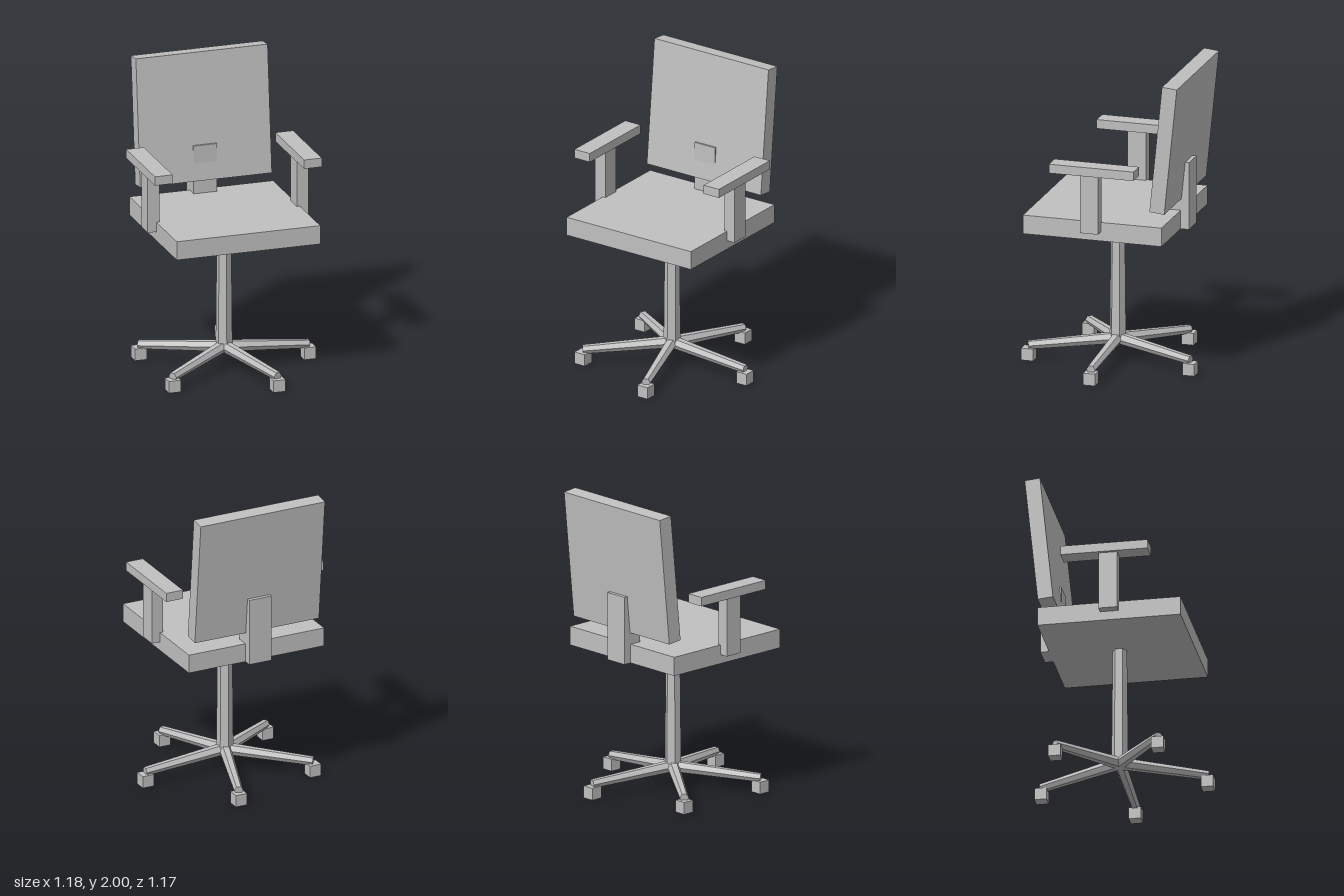
import * as THREE from 'three';

export function createModel() {
  const chair = new THREE.Group();
  chair.name = 'officeChair';
  const grey = new THREE.MeshStandardMaterial({ color: 0xc0c0c0, flatShading: true });
  grey.name = 'grey';
  const CX = -0.022; // the five-spoke base is wider on one side, so the axis sits off centre

  const add = (name, geometry, x, y, z) => {
    const mesh = new THREE.Mesh(geometry, grey);
    mesh.name = name;
    mesh.position.set(CX + x, y, z);
    chair.add(mesh);
    return mesh;
  };
  const box = (name, w, h, d, x, y, z) => add(name, new THREE.BoxGeometry(w, h, d), x, y, z);

  // Seat, reclined backrest and its support
  box('seat', 0.975, 0.125, 0.935, 0, 1.0025, 0.018);
  box('backrest', 0.895, 0.852, 0.1, 0, 1.572, -0.4475).rotation.x = -0.1;
  box('backSupport', 0.16, 0.45, 0.138, 0, 1.165, -0.436);

  // Armrests, mirrored
  for (const [side, s] of [['left', 1], ['right', -1]]) {
    box(side + 'ArmPost', 0.08, 0.39, 0.122, s * 0.507, 1.195, 0.021);
    box(side + 'Armrest', 0.12, 0.06, 0.57, s * 0.507, 1.42, 0);
  }

  // Hexagonal column
  add('column', new THREE.CylinderGeometry(0.047, 0.055, 0.8, 6), 0, 0.545, 0);

  // Five tapered, sloping legs with square feet
  const reach = 0.575, drop = 0.05;
  const length = Math.hypot(reach, drop);
  const legGeometry = new THREE.CylinderGeometry(0.03, 0.04, length, 6);
  legGeometry.translate(0, length / 2, 0);
  legGeometry.rotateZ(-Math.PI / 2 - Math.atan2(drop, reach));
  for (let i = 0; i < 5; i++) {
    const a = (i * Math.PI * 2) / 5;
    add('leg' + (i + 1), legGeometry, 0, 0.145, 0).rotation.y = a;
    box('foot' + (i + 1), 0.08, 0.08, 0.08, 0.572 * Math.cos(a), 0.04, -0.572 * Math.sin(a));
  }
  return chair;
}
